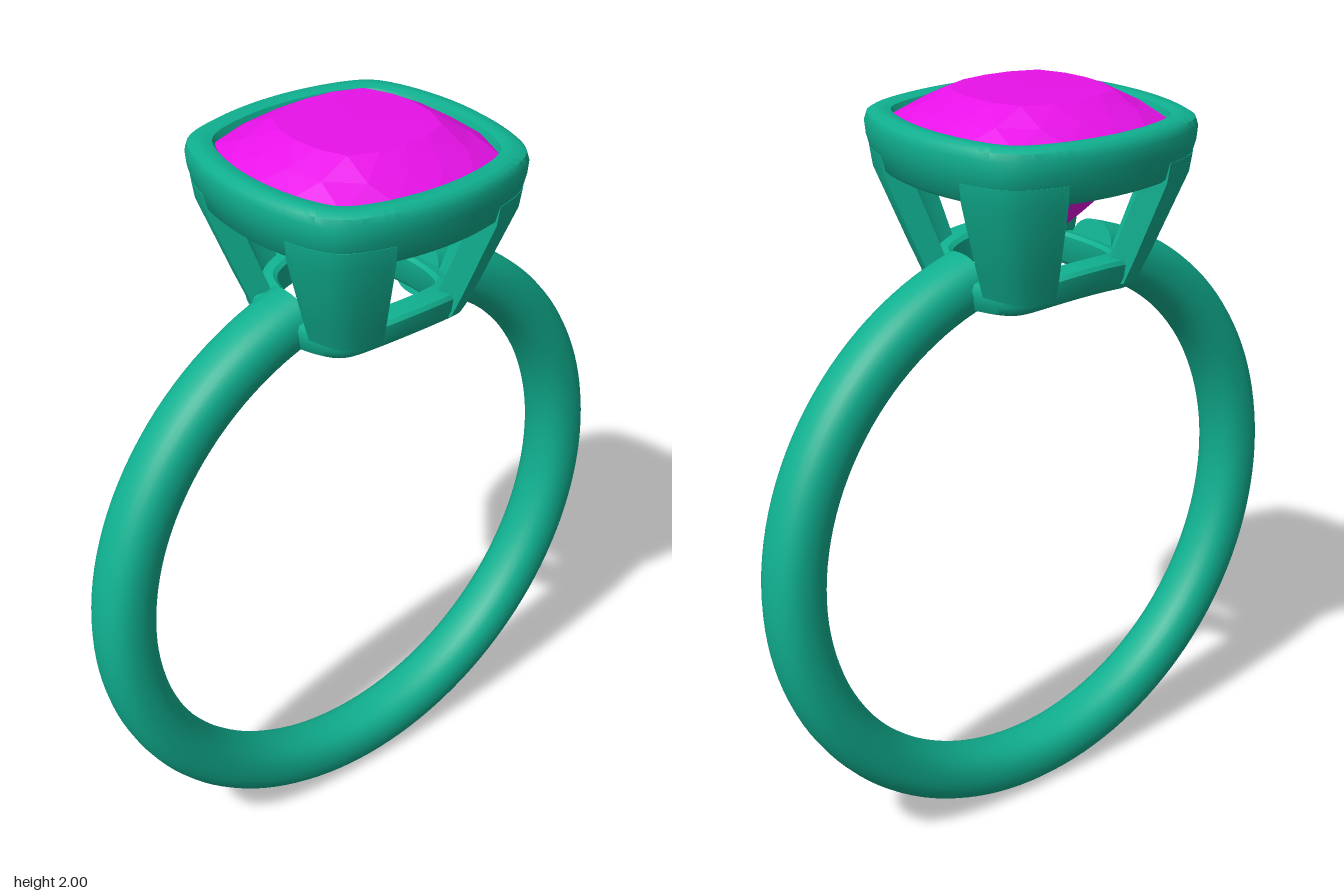
import * as THREE from 'three';
import { toCreasedNormals } from 'three/addons/utils/BufferGeometryUtils.js';

const RING_Y = 0.825; // centre height of the finger hole
const metal = new THREE.MeshStandardMaterial({ color: 0x10b090 });
const stone = new THREE.MeshStandardMaterial({ color: 0xe812e8, flatShading: true });

// Radius of a unit cushion outline: four bowed sides with softened corners
function cushion(theta) {
  const d = 0.958, R = 1.958;
  let sum = 0;
  for (let k = 0; k < 4; k++) {
    const c = Math.cos(theta - k * Math.PI / 2);
    const r = -d * c + Math.sqrt(d * d * c * c + R * R - d * d);
    sum += Math.pow(r, -24);
  }
  return Math.pow(sum, -1 / 24);
}

function cushionPoint(a, y, theta) {
  const r = a * cushion(theta);
  return new THREE.Vector3(r * Math.cos(theta), y, r * Math.sin(theta));
}

// Surface through rows x cols points, optionally wrapped in either direction
function grid(rows, cols, point, wrapRows, wrapCols) {
  const pos = [], index = [];
  for (let i = 0; i < rows; i++)
    for (let j = 0; j < cols; j++) pos.push(...point(i, j).toArray());
  for (let i = 0; i < rows - (wrapRows ? 0 : 1); i++)
    for (let j = 0; j < cols - (wrapCols ? 0 : 1); j++) {
      const i2 = (i + 1) % rows, j2 = (j + 1) % cols;
      const a = i * cols + j, b = i2 * cols + j, c = i2 * cols + j2, d = i * cols + j2;
      index.push(a, b, c, a, c, d);
    }
  const g = new THREE.BufferGeometry();
  g.setAttribute('position', new THREE.Float32BufferAttribute(pos, 3));
  g.setIndex(index);
  g.computeVertexNormals();
  return g;
}

// Open sweep of a closed section, with both ends closed by a fan to the section's middle
function cappedSweep(rows, steps, point) {
  return grid(rows, steps + 3, (i, j) => {
    const t = THREE.MathUtils.clamp((j - 1) / steps, 0, 1);
    if (j > 0 && j < steps + 2) return point(i, t);
    const mid = new THREE.Vector3();
    for (let k = 0; k < rows; k++) mid.add(point(k, t));
    return mid.divideScalar(rows);
  }, true, false);
}

function addMesh(group, name, geometry, material) {
  const mesh = new THREE.Mesh(geometry, material);
  mesh.name = name;
  group.add(mesh);
  return mesh;
}

export function createModel() {
  const ring = new THREE.Group();
  ring.name = 'ring';
  const SEG = 96;

  // Band: rounded section swept round the finger, open under the setting
  const start = Math.asin(0.2 / 0.75);
  const band = cappedSweep(28, 120, (i, t) => {
    const s = i / 28 * Math.PI * 2, c = Math.cos(s), n = Math.sin(s);
    const rho = 0.75 + 0.075 * Math.sign(c) * Math.pow(Math.abs(c), 0.85);
    const z = 0.08 * Math.sign(n) * Math.pow(Math.abs(n), 0.85);
    const phi = start + t * (Math.PI * 2 - 2 * start);
    return new THREE.Vector3(rho * Math.sin(phi), RING_Y + rho * Math.cos(phi), z);
  });
  addMesh(ring, 'band', toCreasedNormals(band, 0.7), metal);

  // Bezel: cushion-shaped collar round the stone
  const bezelProfile = [
    [0.285, 1.8], [0.335, 1.8], [0.346, 1.81], [0.363, 1.88], [0.366, 1.915],
    [0.36, 1.935], [0.345, 1.945], [0.322, 1.945], [0.306, 1.94], [0.3, 1.925], [0.285, 1.88],
  ];
  const bezel = grid(bezelProfile.length, SEG, (i, j) =>
    cushionPoint(...bezelProfile[i], j / SEG * Math.PI * 2), true, true);
  addMesh(ring, 'bezel', toCreasedNormals(bezel, 0.7), metal);

  // Base frame: cushion hoop bent to follow the finger hole
  const baseProfile = [
    [0.175, 0.7], [0.185, 0.69], [0.215, 0.69], [0.236, 0.705],
    [0.247, 0.73], [0.252, 0.765], [0.245, 0.775], [0.185, 0.775], [0.175, 0.765],
  ];
  const base = grid(baseProfile.length, SEG, (i, j) => {
    const [a, R] = baseProfile[i];
    const p = cushionPoint(a, 0, j / SEG * Math.PI * 2);
    p.y = RING_Y + Math.sqrt(R * R - p.x * p.x);
    return p;
  }, true, true);
  addMesh(ring, 'baseFrame', toCreasedNormals(base, 0.7), metal);

  // Four tapered corner posts between base frame and bezel
  const postProfile = [
    [0.19, 1.53], [0.247, 1.53], [0.275, 1.6], [0.35, 1.8], [0.357, 1.85],
    [0.3, 1.85], [0.288, 1.8], [0.215, 1.6],
  ];
  const post = toCreasedNormals(cappedSweep(postProfile.length, 16, (i, t) =>
    cushionPoint(...postProfile[i], THREE.MathUtils.degToRad(25 + 40 * t))), 0.7);
  const posts = new THREE.Group();
  posts.name = 'posts';
  ring.add(posts);
  for (let k = 0; k < 4; k++)
    addMesh(posts, 'cornerPost', post, metal).rotation.y = k * Math.PI / 2;

  // Faceted stone: levels of [half width, height, half-steps of twist]
  const levels = [
    [0, 1.605, 0], [0.03, 1.607, 0], [0.12, 1.69, 1], [0.215, 1.79, 2], [0.285, 1.88, 3],
    [0.304, 1.91, 4], [0.304, 1.925, 4], [0.25, 1.96, 5], [0.18, 1.997, 6], [0, 2, 6],
  ];
  const gem = grid(levels.length, 16, (i, j) => {
    const [a, y, k] = levels[i];
    return cushionPoint(a, y, (j - k / 2) / 16 * Math.PI * 2);
  }, false, true).toNonIndexed();
  gem.computeVertexNormals();
  addMesh(ring, 'gemstone', gem, stone);

  return ring;
}
